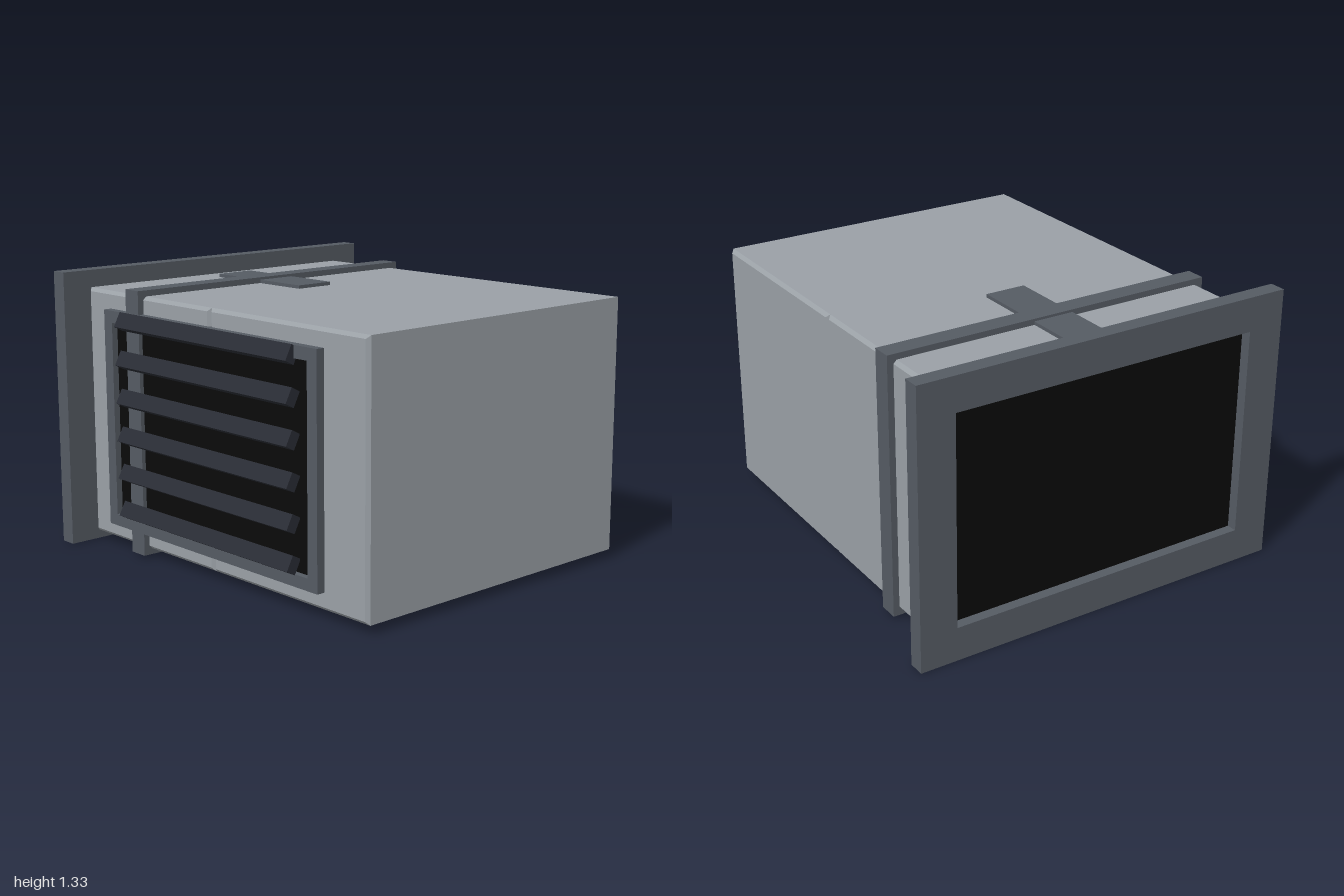
import * as THREE from 'three';

const material = (color) => new THREE.MeshStandardMaterial({ color, flatShading: true });

export function createModel() {
  const model = new THREE.Group();
  const shell = material(0x9aa0a6);
  const trim = material(0x555b63);
  const slat = material(0x2a2d35);
  const dark = material(0x0a0a0a);

  const add = (name, geometry, mat) => {
    const mesh = new THREE.Mesh(geometry, mat);
    mesh.name = name;
    model.add(mesh);
    return mesh;
  };
  const box = (name, mat, x0, x1, y0, y1, z0, z1) => {
    const mesh = add(name, new THREE.BoxGeometry(x1 - x0, y1 - y0, z1 - z0), mat);
    mesh.position.set((x0 + x1) / 2, (y0 + y1) / 2, (z0 + z1) / 2);
    return mesh;
  };
  const rectangle = (PathType, w, h) => new PathType([
    new THREE.Vector2(-w / 2, -h / 2), new THREE.Vector2(w / 2, -h / 2),
    new THREE.Vector2(w / 2, h / 2), new THREE.Vector2(-w / 2, h / 2),
  ]);
  // Rectangular frame of outer size w x h, centred, with a hole and a depth
  const frame = (w, h, holeW, holeH, depth) => {
    const shape = rectangle(THREE.Shape, w, h);
    shape.holes.push(rectangle(THREE.Path, holeW, holeH));
    return new THREE.ExtrudeGeometry(shape, { depth, bevelEnabled: false }).translate(0, 0, -depth / 2);
  };
  // Box with chamfered edges
  const chamferBox = (w, h, d, c) => new THREE.ExtrudeGeometry(
    rectangle(THREE.Shape, w - 2 * c, h - 2 * c),
    { depth: d - 2 * c, bevelThickness: c, bevelSize: c, bevelSegments: 1 },
  ).translate(0, 0, c - d / 2);

  // Two housing halves meeting at a grooved seam
  for (const [name, x0, x1] of [['housingRight', -0.92, 0], ['housingLeft', 0, 1]]) {
    add(name, chamferBox(x1 - x0, 1.2, 1.6, 0.016), shell).position.set((x0 + x1) / 2, 0.642, 0);
  }

  // Mounting flange around the open duct end
  const flange = add('flange', frame(1.88, 1.325, 1.52, 1.0, 0.08), trim);
  flange.rotation.y = Math.PI / 2;
  flange.position.set(-0.96, 0.6625, 0);
  box('ductOpening', dark, -0.95, -0.92, 0.15, 1.17, -0.77, 0.77);

  // Band around the housing
  const band = add('band', frame(1.66, 1.256, 1.58, 1.18, 0.096), trim);
  band.rotation.y = Math.PI / 2;
  band.position.set(-0.532, 0.642, 0);

  // Plate on the roof
  box('topPlate', trim, -0.8, -0.2, 1.235, 1.258, -0.1, 0.1);

  // Louvred grille on the front
  add('grilleFrame', frame(1.48, 1.036, 1.36, 0.924, 0.05), trim).position.set(0, 0.642, 0.815);
  box('grilleOpening', dark, -0.69, 0.69, 0.17, 1.115, 0.79, 0.81);
  for (let i = 0; i < 6; i++) {
    const louvre = add(`louvre${i + 1}`, new THREE.BoxGeometry(1.2, 0.074, 0.05), slat);
    louvre.position.set(0, 0.22 + i * 0.18, 0.846);
    louvre.rotation.x = -0.48;
  }

  return model;
}
